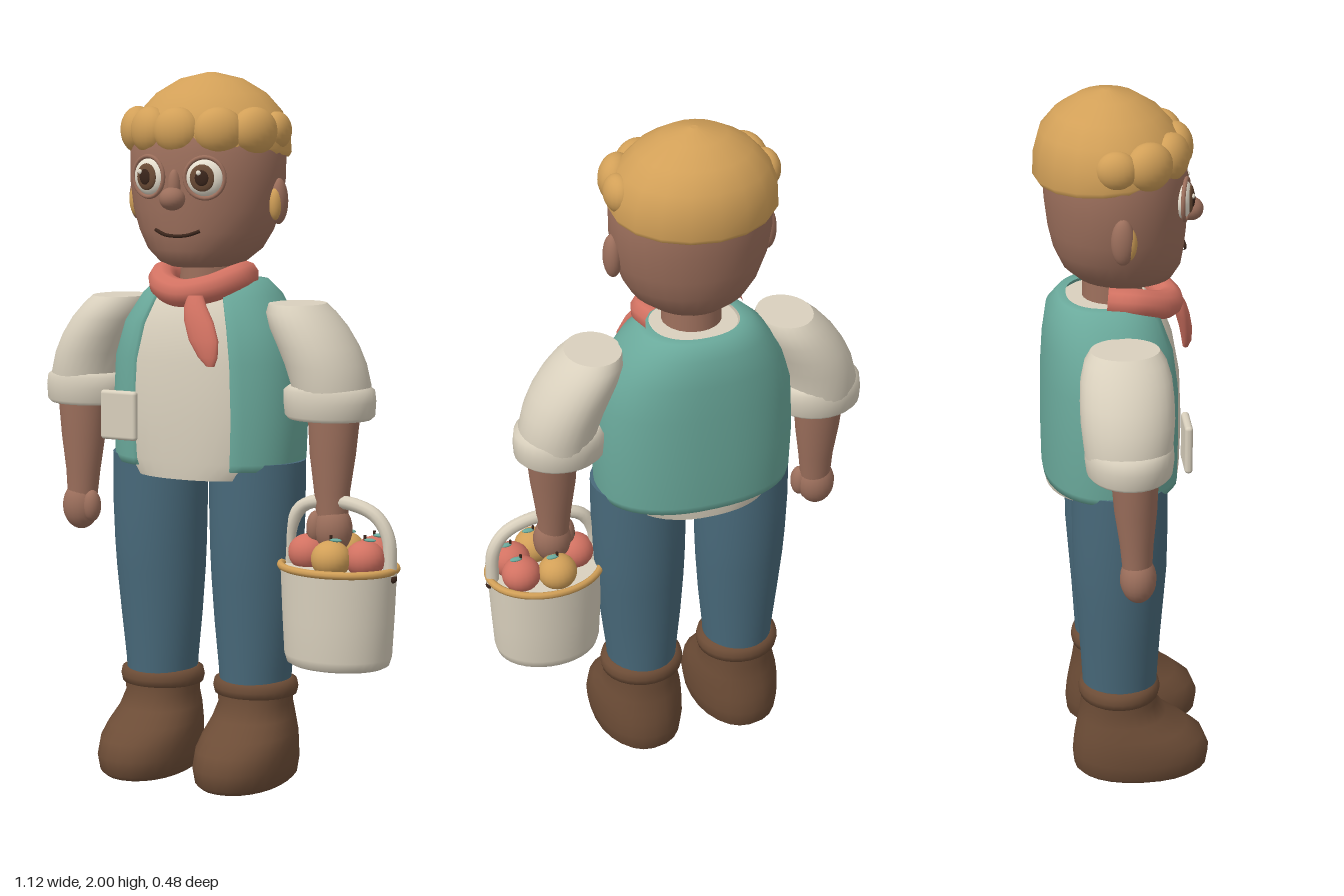
import * as THREE from 'three';
import { RoundedBoxGeometry } from 'three/addons/geometries/RoundedBoxGeometry.js';

const CX = -0.05; // body centre line

const mat = (name, color, side = THREE.FrontSide) => {
  const m = new THREE.MeshStandardMaterial({ color, side });
  m.name = name;
  return m;
};

// Stack of oval rings [y, cx, cz, rx, rz], listed upwards; gap leaves the front open.
function loft(rings, { n = 28, e = 1, gap = 0, caps = true } = {}) {
  const pos = [], idx = [];
  const pw = (v) => Math.sign(v) * Math.abs(v) ** e;
  const cols = [];
  if (gap) cols.push([gap, 0.92]);
  for (let i = 0; i < (gap ? n + 1 : n); i++) cols.push([gap + (i / n) * (2 * Math.PI - 2 * gap), 1]);
  if (gap) cols.push([2 * Math.PI - gap, 0.92]);
  const w = cols.length;
  const addRing = ([y, cx, cz, rx, rz, slope = 0]) => {
    for (const [a, k] of cols) {
      const z = rz * k * pw(Math.cos(a));
      pos.push(cx + rx * k * pw(Math.sin(a)), y + slope * z, cz + z);
    }
  };
  rings.forEach(addRing);
  for (let j = 0; j < rings.length - 1; j++) {
    for (let i = 0; i < (gap ? w - 1 : w); i++) {
      const a = j * w + i, b = j * w + ((i + 1) % w);
      idx.push(a, b, b + w, a, b + w, a + w);
    }
  }
  if (caps && !gap) {
    for (const top of [false, true]) {
      const r = top ? rings[rings.length - 1] : rings[0];
      const start = pos.length / 3;
      addRing(r);
      pos.push(r[1], r[0], r[2]);
      for (let i = 0; i < w; i++) {
        const a = start + i, b = start + ((i + 1) % w);
        idx.push(start + w, top ? a : b, top ? b : a);
      }
    }
  }
  const g = new THREE.BufferGeometry();
  g.setAttribute('position', new THREE.Float32BufferAttribute(pos, 3));
  g.setIndex(idx);
  g.computeVertexNormals();
  return g;
}

export function createModel() {
  const model = new THREE.Group();
  model.name = 'farmer';
  const skin = mat('skin', 0x9c6f5c), gold = mat('hair gold', 0xd2a058);
  const teal = mat('vest teal', 0x6aa99b, THREE.DoubleSide), cream = mat('cream cloth', 0xd9d0bd);
  const coral = mat('coral', 0xd27262), denim = mat('denim', 0x48697a);
  const brown = mat('boot brown', 0x6c4c36), dark = mat('dark brown', 0x3a251b);
  const white = mat('eye white', 0xf1e9d8);

  const add = (name, geo, material, parent = model) => {
    const m = new THREE.Mesh(geo, material);
    m.name = name;
    parent.add(m);
    return m;
  };
  const ball = (name, material, p, s, parent = model) => {
    const m = add(name, new THREE.SphereGeometry(1, 20, 14), material, parent);
    m.position.set(...p);
    m.scale.set(...s);
    return m;
  };
  const tube = (name, material, pts, r, parent = model) => add(name, new THREE.TubeGeometry(
    new THREE.CatmullRomCurve3(pts.map((p) => new THREE.Vector3(...p))), 36, r, 10), material, parent);
  // rings given with x offset from the centre line
  const body = (rings, side = 1) => rings.map(([y, o, ...r]) => [y, CX + side * o, ...r]);

  // Legs, boots and arms
  for (const s of [1, -1]) {
    const side = s > 0 ? 'left' : 'right';
    add(side + 'Leg', loft(body([
      [0.26, 0.152, -0.018, 0.1, 0.105], [0.32, 0.152, -0.018, 0.104, 0.108],
      [0.45, 0.153, -0.018, 0.118, 0.116], [0.58, 0.155, -0.018, 0.129, 0.126],
      [0.66, 0.156, -0.018, 0.133, 0.132], [0.78, 0.157, -0.018, 0.137, 0.134],
      [0.92, 0.157, -0.018, 0.137, 0.134]], s)), denim);
    add(side + 'Boot', loft(body([
      [0, 0.155, 0.04, 0.11, 0.175], [0.015, 0.155, 0.042, 0.125, 0.192],
      [0.06, 0.155, 0.043, 0.133, 0.198], [0.105, 0.155, 0.036, 0.131, 0.187],
      [0.14, 0.154, 0.016, 0.126, 0.16], [0.18, 0.152, -0.01, 0.114, 0.126],
      [0.22, 0.152, -0.02, 0.103, 0.11], [0.27, 0.152, -0.02, 0.106, 0.11]], s), { n: 24, e: 0.92 }), brown);
    add(side + 'BootCuff', loft(body([
      [0.242, 0.152, -0.02, 0.105, 0.1], [0.247, 0.152, -0.02, 0.119, 0.113],
      [0.265, 0.152, -0.02, 0.123, 0.117], [0.285, 0.152, -0.02, 0.119, 0.113],
      [0.292, 0.152, -0.02, 0.105, 0.1]], s)), brown);

    add(side + 'Sleeve', loft(body([
      [1.08, 0.392, -0.015, 0.104, 0.112], [1.14, 0.388, -0.015, 0.109, 0.12],
      [1.2, 0.37, -0.015, 0.111, 0.126], [1.25, 0.347, -0.015, 0.111, 0.126],
      [1.3, 0.318, -0.015, 0.107, 0.122], [1.34, 0.294, -0.015, 0.095, 0.11],
      [1.365, 0.283, -0.015, 0.078, 0.093]], s)), cream);
    add(side + 'SleeveCuff', loft(body([
      [1.05, 0.385, -0.012, 0.118, 0.106], [1.06, 0.385, -0.012, 0.128, 0.115],
      [1.1, 0.384, -0.012, 0.131, 0.12], [1.13, 0.382, -0.012, 0.129, 0.118],
      [1.142, 0.382, -0.012, 0.11, 0.112]], s)), cream);
    add(side + 'Forearm', loft(body([
      [0.77, 0.404, 0.008, 0.044, 0.04], [0.85, 0.402, 0.006, 0.051, 0.046],
      [0.95, 0.402, 0.003, 0.065, 0.058], [1.08, 0.404, 0, 0.076, 0.066]], s)), skin);
    ball(side + 'Hand', skin, [CX + s * 0.408, 0.745, 0.01], [0.055, 0.07, 0.05]);
    ball(side + 'Thumb', skin, [CX + s * 0.362, 0.748, 0.025], [0.026, 0.046, 0.028]);
  }

  // Shirt, open vest and pocket
  add('shirt', loft(body([
    [0.872, 0, -0.03, 0.215, 0.186], [0.92, 0, -0.03, 0.255, 0.19], [1.05, 0, -0.03, 0.272, 0.194],
    [1.2, 0, -0.03, 0.262, 0.188], [1.3, 0, -0.032, 0.234, 0.172],
    [1.38, 0, -0.04, 0.185, 0.148], [1.415, 0, -0.042, 0.12, 0.11]]), { n: 40, e: 0.88 }), cream);
  add('vest', loft(body([
    [0.9, 0, -0.03, 0.262, 0.18], [0.9, 0, -0.03, 0.278, 0.192], [0.92, 0, -0.03, 0.283, 0.195],
    [1.05, 0, -0.03, 0.288, 0.197], [1.2, 0, -0.03, 0.28, 0.195], [1.3, 0, -0.034, 0.251, 0.185],
    [1.38, 0, -0.045, 0.2, 0.163], [1.42, 0, -0.048, 0.158, 0.128], [1.42, 0, -0.048, 0.125, 0.105]]),
  { n: 40, e: 0.88, gap: 0.53 }), teal);
  add('pocket', new RoundedBoxGeometry(0.115, 0.14, 0.022, 3, 0.01), cream).position.set(-0.237, 1.042, 0.164);

  // Neck and neckerchief
  add('neck', new THREE.CylinderGeometry(0.08, 0.085, 0.14, 24), skin).position.set(CX, 1.44, -0.025);
  tube('neckerchief', coral, [[CX - 0.105, 1.435, -0.045], [CX - 0.115, 1.43, 0.03], [CX - 0.07, 1.405, 0.105],
    [CX, 1.392, 0.132], [CX + 0.07, 1.405, 0.105], [CX + 0.115, 1.43, 0.03], [CX + 0.105, 1.435, -0.045]], 0.04);
  add('neckerchiefTail', loft([
    [1.2, 0.07, 0.193, 0.012, 0.008], [1.225, 0.063, 0.195, 0.03, 0.014], [1.27, 0.047, 0.19, 0.046, 0.018],
    [1.32, 0.026, 0.178, 0.045, 0.02], [1.36, 0.008, 0.165, 0.034, 0.02],
    [1.39, 0, 0.15, 0.022, 0.018]], { n: 16 }), coral);

  // Head
  add('head', loft(body([
    [1.462, 0, 0.012, 0.085, 0.105], [1.475, 0, 0.01, 0.12, 0.132], [1.51, 0, 0, 0.162, 0.162],
    [1.56, 0, -0.008, 0.191, 0.178], [1.62, 0, -0.012, 0.212, 0.188], [1.7, 0, -0.015, 0.224, 0.195],
    [1.78, 0, -0.018, 0.225, 0.196], [1.86, 0, -0.02, 0.205, 0.18], [1.93, 0, -0.025, 0.13, 0.12]])), skin);
  for (const s of [1, -1]) {
    ball('ear', skin, [CX + s * 0.222, 1.645, -0.015], [0.026, 0.064, 0.032]);
    ball('earPatch', gold, [CX + s * 0.222, 1.64, -0.002], [0.02, 0.048, 0.025]);
    const eye = new THREE.Group();
    eye.name = 'eye';
    eye.position.set(CX + s * 0.086, 1.713, 0.158);
    eye.rotation.y = s * 0.25;
    model.add(eye);
    ball('eyeball', white, [0, 0, 0], [0.056, 0.052, 0.026], eye);
    ball('iris', brown, [-s * 0.004, 0, 0.02], [0.035, 0.037, 0.009], eye);
    ball('pupil', dark, [-s * 0.004, 0, 0.026], [0.02, 0.022, 0.006], eye);
    ball('glint', white, [-0.012, 0.014, 0.03], [0.007, 0.007, 0.004], eye);
    add('eyeRim', new THREE.TorusGeometry(0.056, 0.006, 8, 28), skin, eye).position.z = 0.008;
  }
  ball('noseBridge', skin, [CX, 1.685, 0.178], [0.019, 0.05, 0.02]);
  ball('noseTip', skin, [CX, 1.655, 0.19], [0.037, 0.032, 0.034]);
  tube('mouth', dark, [[CX - 0.07, 1.567, 0.159], [CX - 0.035, 1.555, 0.17], [CX, 1.552, 0.173],
    [CX + 0.035, 1.555, 0.17], [CX + 0.07, 1.567, 0.159]], 0.005);

  // Hair cap with a row of curls round the brow
  add('hair', loft(body([
    [1.772, 0, -0.033, 0.226, 0.197, 0.09], [1.785, 0, -0.034, 0.233, 0.206, 0.08],
    [1.84, 0, -0.034, 0.228, 0.203, 0.03], [1.89, 0, -0.036, 0.204, 0.186],
    [1.94, 0, -0.038, 0.158, 0.143], [1.98, 0, -0.038, 0.09, 0.08], [1.998, 0, -0.038, 0.01, 0.01]]), { n: 18 }), gold);
  for (let i = -3; i <= 3; i++) {
    const a = i * 0.54;
    const k = Math.abs(i) === 3 ? 0.8 : 1;
    ball('curl', gold, [CX + 0.02 * (i === 0 ? -0.5 : 0) + 0.208 * Math.sin(a), 1.838, -0.022 + 0.165 * Math.cos(a)],
      [0.07 * k, 0.066 * k, 0.05 * k]).rotation.y = a;
  }

  // Bucket of fruit
  const bucket = new THREE.Group();
  bucket.name = 'bucket';
  bucket.position.set(0.38, 0, 0.02);
  model.add(bucket);
  add('pail', loft([
    [0.365, 0, 0, 0.135, 0.108], [0.372, 0, 0, 0.148, 0.12], [0.395, 0, 0, 0.155, 0.126],
    [0.5, 0, 0, 0.161, 0.13], [0.64, 0, 0, 0.167, 0.135]], { n: 36 }), cream, bucket);
  const rim = add('rim', new THREE.TorusGeometry(0.166, 0.011, 8, 40), gold, bucket);
  rim.rotation.x = Math.PI / 2;
  rim.scale.y = 0.82;
  rim.position.y = 0.643;
  tube('handle', cream, [[-0.155, 0.63, 0], [-0.148, 0.74, 0], [-0.115, 0.8, 0], [-0.06, 0.822, 0],
    [0.05, 0.818, 0], [0.115, 0.79, 0], [0.15, 0.735, 0], [0.157, 0.63, 0]], 0.019, bucket);
  for (const s of [1, -1]) ball('handlePin', dark, [s * 0.165, 0.622, 0], [0.012, 0.012, 0.012], bucket);
  const fruit = [[coral, -0.092, 0.005], [gold, 0.01, 0.07], [coral, 0.092, 0.025], [gold, -0.015, -0.075], [coral, 0.085, -0.05]];
  for (const [m, x, z] of fruit) {
    ball('fruit', m, [x, 0.675, z], [0.056, 0.052, 0.054], bucket);
    ball('leaf', teal, [x + 0.014, 0.729, z], [0.018, 0.005, 0.009], bucket);
    add('stem', new THREE.CylinderGeometry(0.004, 0.004, 0.02, 6), dark, bucket).position.set(x, 0.732, z);
  }
  return model;
}
